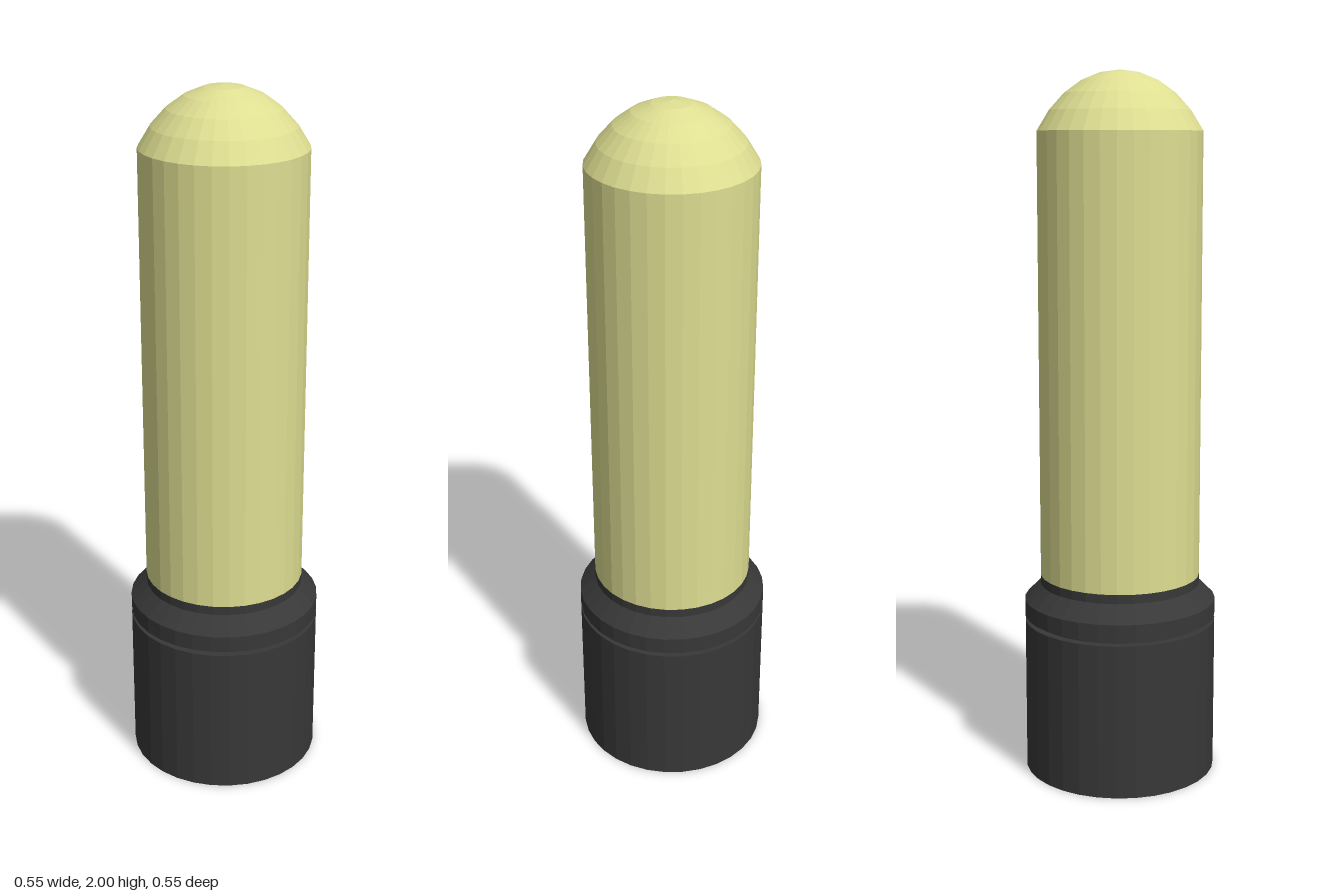
import * as THREE from 'three';

const SIDES = 32;

export function createModel() {
  const model = new THREE.Group();
  const paleYellow = new THREE.MeshStandardMaterial({ color: 0xdede92, flatShading: true });
  paleYellow.name = 'paleYellow';
  const charcoal = new THREE.MeshStandardMaterial({ color: 0x383838, flatShading: true });
  charcoal.name = 'charcoal';

  // Turned part from [radius, height] pairs, bottom to top
  function turned(name, profile, material) {
    const points = profile.map(([r, y]) => new THREE.Vector2(r, y));
    const mesh = new THREE.Mesh(new THREE.LatheGeometry(points, SIDES), material);
    mesh.name = name;
    model.add(mesh);
  }

  // Base drum, closed underneath, up to the groove
  turned('base', [[0, 0], [0.276, 0], [0.276, 0.445], [0.252, 0.445]], charcoal);
  turned('groove', [[0.252, 0.445], [0.252, 0.458]], charcoal);

  // Collar with a chamfer up to the narrow neck
  turned('collar', [[0.252, 0.458], [0.276, 0.458], [0.276, 0.506], [0.23, 0.552]], charcoal);
  turned('neck', [[0.23, 0.552], [0.23, 0.578]], charcoal);

  // Straight tube
  turned('tube', [[0.23, 0.578], [0.23, 1.836]], paleYellow);

  // Dome: upper part of a stretched sphere, five rings
  const dome = [];
  for (let i = 5; i >= 0; i--) {
    const a = i * Math.PI / 16;
    dome.push([0.2766 * Math.sin(a), 2 - 0.369 * (1 - Math.cos(a))]);
  }
  turned('dome', dome, paleYellow);

  return model;
}
